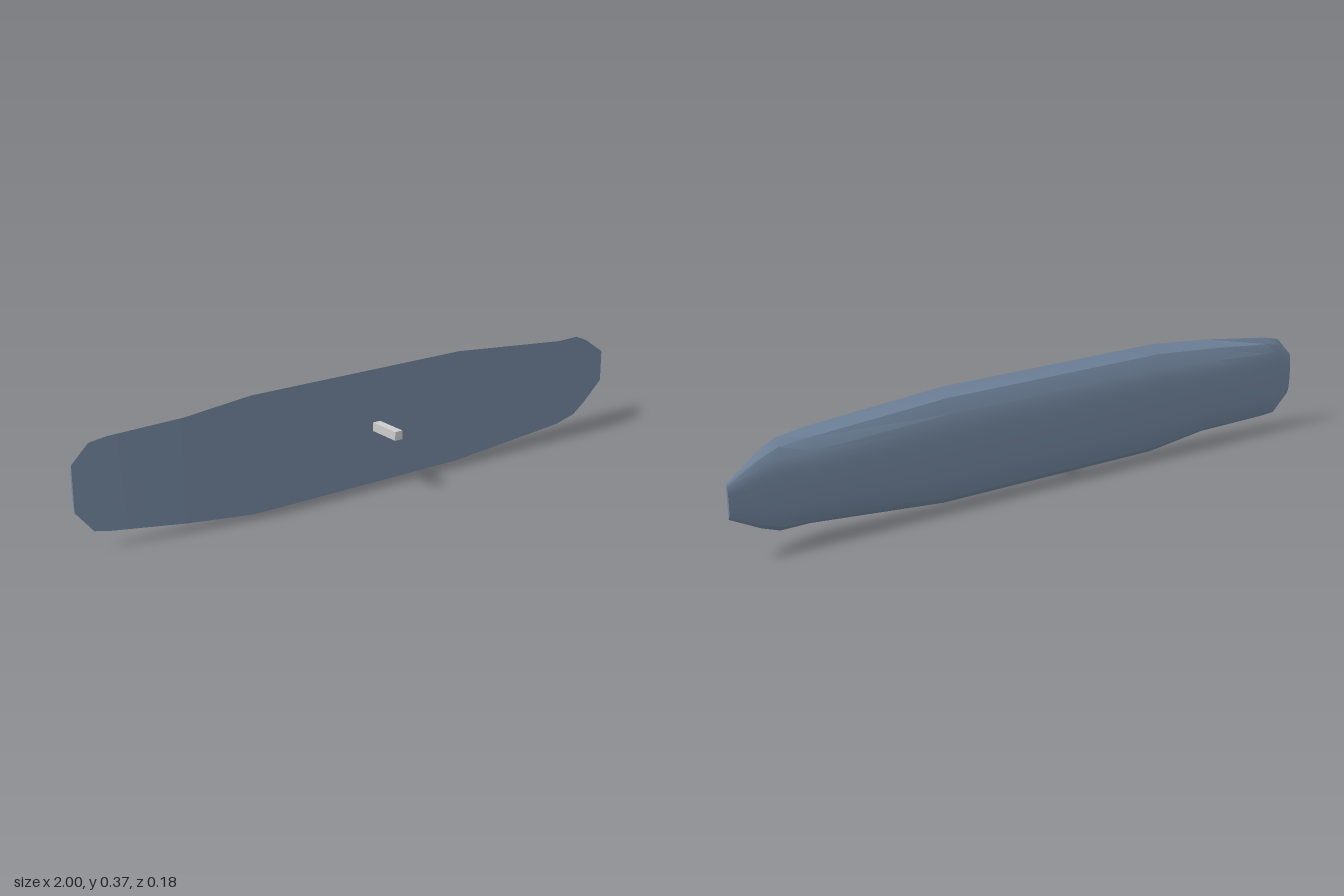
import * as THREE from 'three';
import { toCreasedNormals } from 'three/addons/utils/BufferGeometryUtils.js';

const BACK = -0.088;

// Stations along the hull: x, lower edge y, upper edge y, deck z
const stations = [
  [-1, 0.12, 0.26, -0.08],
  [-0.95, 0.057, 0.317, -0.071],
  [-0.9, 0.049, 0.328, -0.062],
  [-0.68, 0.029, 0.348, -0.024],
  [-0.46, 0.002, 0.37, -0.025],
  [0.31, 0.002, 0.37, -0.025],
  [0.74, 0.039, 0.333, -0.019],
  [0.84, 0.049, 0.327, -0.04],
  [0.9, 0.076, 0.302, -0.054],
  [1, 0.135, 0.24, -0.077],
];

// Half section: fraction of half width, fraction of depth
const half = [[1, 0], [0.86, 0.5], [0.63, 0.82], [0.47, 0.92], [0.3, 0.975], [0.13, 1]];
const section = [...half, ...half.map(([w, d]) => [-w, d]).reverse()];

function hullGeometry() {
  const n = section.length;
  const positions = [];
  const index = [];
  for (const [x, low, high, deck] of stations) {
    const mid = (low + high) / 2;
    const w = (high - low) / 2;
    for (const [u, d] of section) positions.push(x, mid + u * w, deck + (BACK - deck) * d);
  }
  // Skin, including the flat deck that closes each ring
  for (let s = 0; s < stations.length - 1; s++) {
    for (let i = 0; i < n; i++) {
      const a = s * n + i;
      const c = s * n + (i + 1) % n;
      index.push(a, a + n, c, c, a + n, c + n);
    }
  }
  // End caps
  const last = (stations.length - 1) * n;
  for (let i = 1; i < n - 1; i++) {
    index.push(0, i, i + 1);
    index.push(last, last + i + 1, last + i);
  }
  const geometry = new THREE.BufferGeometry();
  geometry.setAttribute('position', new THREE.Float32BufferAttribute(positions, 3));
  geometry.setIndex(index);
  return toCreasedNormals(geometry, Math.PI / 9);
}

export function createModel() {
  const model = new THREE.Group();

  // Long shallow hull with its deck facing forward
  const hull = new THREE.Mesh(hullGeometry(), new THREE.MeshStandardMaterial({ color: 0x72869e }));
  hull.name = 'hull';
  model.add(hull);

  // Square peg standing on the deck
  const peg = new THREE.Mesh(
    new THREE.BoxGeometry(0.027, 0.028, 0.118),
    new THREE.MeshStandardMaterial({ color: 0xcccccc }),
  );
  peg.name = 'peg';
  peg.position.set(-0.014, 0.186, 0.029);
  model.add(peg);

  return model;
}
